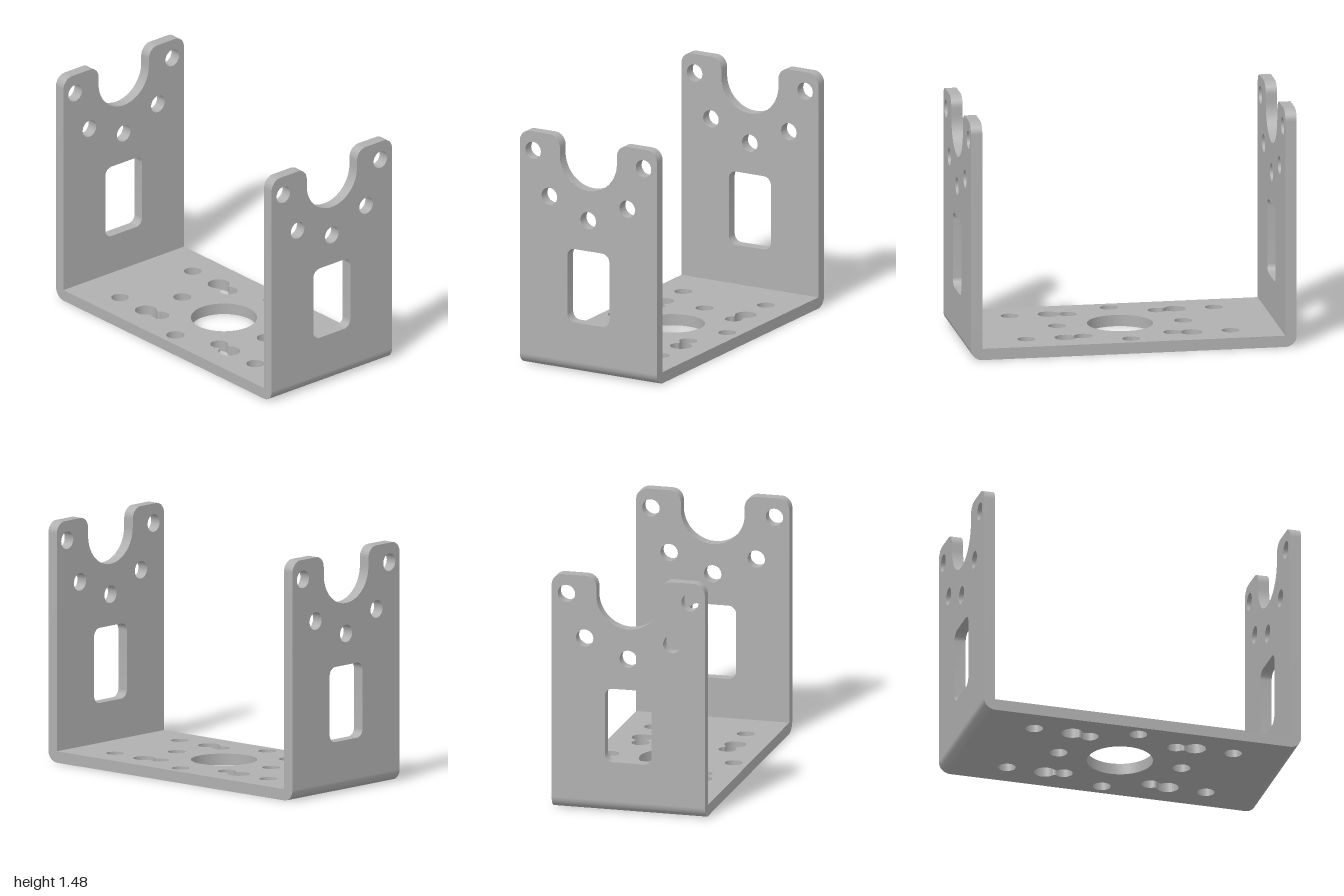
import * as THREE from 'three';
import { toCreasedNormals } from 'three/addons/utils/BufferGeometryUtils.js';

const W = 0.48;        // half width
const T = 0.07;        // sheet thickness
const H = 1.475;       // height
const SIDES = [-1, 1];

function circle(x, y, r) {
  const p = new THREE.Path();
  p.absarc(x, y, r, 0, Math.PI * 2, false);
  return p;
}

function roundedRect(x0, y0, x1, y1, r) {
  const p = new THREE.Path();
  p.absarc(x1 - r, y1 - r, r, 0, Math.PI / 2, false);
  p.absarc(x0 + r, y1 - r, r, Math.PI / 2, Math.PI, false);
  p.absarc(x0 + r, y0 + r, r, Math.PI, Math.PI * 1.5, false);
  p.absarc(x1 - r, y0 + r, r, Math.PI * 1.5, Math.PI * 2, false);
  p.closePath();
  return p;
}

// Two circles joined by a softly pinched neck
function keyhole(ax, ay, ar, bx, by, br) {
  const dir = Math.atan2(by - ay, bx - ax);
  const half = 0.045, neck = 0.022;
  const ga = Math.asin(half / ar), gb = Math.asin(half / br);
  const mx = ax + Math.cos(dir) * 0.064, my = ay + Math.sin(dir) * 0.064;
  const nx = -Math.sin(dir) * neck, ny = Math.cos(dir) * neck;
  const at = (x, y, r, a) => [x + r * Math.cos(a), y + r * Math.sin(a)];
  const p = new THREE.Path();
  p.absarc(ax, ay, ar, dir + ga, dir + Math.PI * 2 - ga, false);
  p.quadraticCurveTo(mx - nx, my - ny, ...at(bx, by, br, dir + Math.PI + gb));
  p.absarc(bx, by, br, dir + Math.PI + gb, dir + Math.PI * 3 - gb, false);
  p.quadraticCurveTo(mx + nx, my + ny, ...at(ax, ay, ar, dir + ga));
  return p;
}

function sheet(shape) {
  const g = new THREE.ExtrudeGeometry(shape, { depth: T, bevelEnabled: false, curveSegments: 32 });
  return toCreasedNormals(g, Math.PI / 6);
}

// Upright plate with a round notch, five bolt holes and a window
function uprightGeometry() {
  const r = 0.07, n = 0.2, cy = 1.357;
  const s = new THREE.Shape();
  s.moveTo(-W, T);
  s.lineTo(W, T);
  s.absarc(W - r, H - r, r, 0, Math.PI / 2, false);
  s.absarc(n + r, H - r, r, Math.PI / 2, Math.PI, false);
  s.absarc(0, cy, n, 0, -Math.PI, true);
  s.absarc(-n - r, H - r, r, 0, Math.PI / 2, false);
  s.absarc(-W + r, H - r, r, Math.PI / 2, Math.PI, false);
  s.closePath();
  s.holes.push(circle(0, 0.97, 0.054), roundedRect(-0.147, 0.315, 0.147, 0.777, 0.05));
  for (const x of SIDES) {
    s.holes.push(circle(x * 0.387, 1.355, 0.054), circle(x * 0.273, 1.083, 0.054));
  }
  return sheet(s);
}

// Floor plate with a central bore, bolt holes and four keyholes
function baseGeometry() {
  const d = 1 - T;
  const s = new THREE.Shape();
  s.moveTo(-W, -d);
  s.lineTo(W, -d);
  s.lineTo(W, d);
  s.lineTo(-W, d);
  s.closePath();
  s.holes.push(circle(0, 0, 0.2));
  for (const a of SIDES) {
    s.holes.push(circle(a * 0.387, 0, 0.054), circle(0, a * 0.387, 0.054));
    for (const b of SIDES) {
      s.holes.push(circle(a * 0.29, b * 0.627, 0.053));
      s.holes.push(keyhole(a * 0.29, b * 0.387, 0.066, a * 0.273, b * 0.273, 0.054));
    }
  }
  return sheet(s).rotateX(-Math.PI / 2);
}

export function createModel() {
  const group = new THREE.Group();
  group.name = 'mountingBracket';
  const metal = new THREE.MeshStandardMaterial({ color: 0xb0b0b0 });
  metal.name = 'grey metal';
  const add = (name, geometry) => {
    const m = new THREE.Mesh(geometry, metal);
    m.name = name;
    group.add(m);
    return m;
  };

  add('basePlate', baseGeometry());

  const upright = uprightGeometry();
  add('frontUpright', upright).position.z = 1 - T;
  add('backUpright', upright).position.z = -1;

  // Rounded outer bends joining base and uprights
  for (const side of SIDES) {
    const start = side > 0 ? Math.PI * 1.5 : Math.PI;
    const g = new THREE.CylinderGeometry(T, T, W * 2, 16, 1, false, start, Math.PI / 2);
    g.rotateZ(Math.PI / 2);
    add(side > 0 ? 'frontBend' : 'backBend', g).position.set(0, T, side * (1 - T));
  }
  return group;
}
